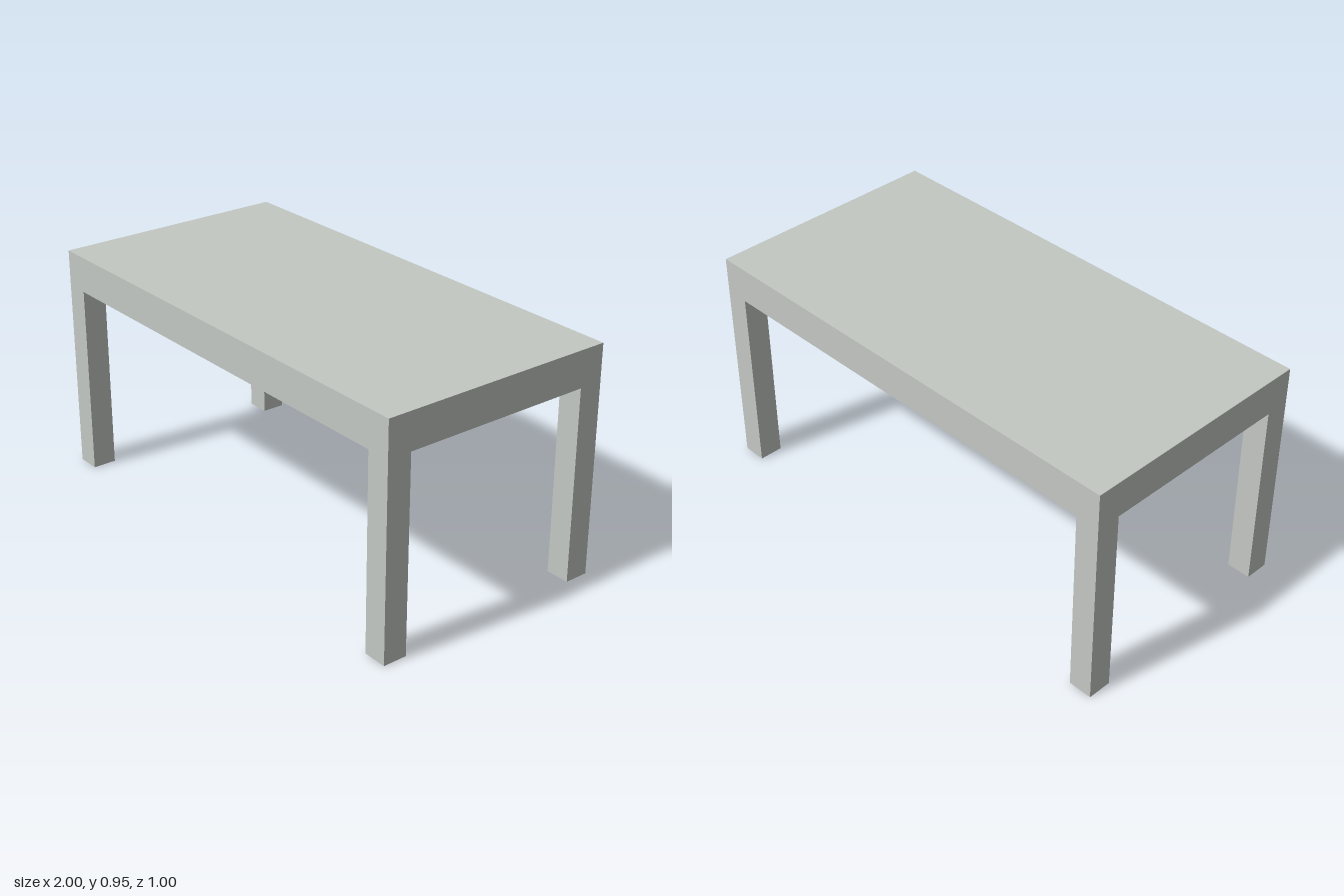
import * as THREE from 'three';

const WIDTH = 2, DEPTH = 1, HEIGHT = 0.95;
const SLAB = 0.15, LEG = 0.1;

export function createModel() {
  const model = new THREE.Group();
  model.name = 'table';

  const paint = new THREE.MeshStandardMaterial({ color: 0xc4c8c3 });
  paint.name = 'pale grey';

  function addBox(name, size, position) {
    const mesh = new THREE.Mesh(new THREE.BoxGeometry(...size), paint);
    mesh.name = name;
    mesh.position.set(...position);
    model.add(mesh);
  }

  // Thick table top
  addBox('tableTop', [WIDTH, SLAB, DEPTH], [0, HEIGHT - SLAB / 2, 0]);

  // Square legs, flush with the corners of the top
  const legHeight = HEIGHT - SLAB;
  for (const [sideName, sx] of [['Left', 1], ['Right', -1]]) {
    for (const [endName, sz] of [['front', 1], ['back', -1]]) {
      addBox(`${endName}${sideName}Leg`, [LEG, legHeight, LEG],
        [sx * (WIDTH - LEG) / 2, legHeight / 2, sz * (DEPTH - LEG) / 2]);
    }
  }

  return model;
}
